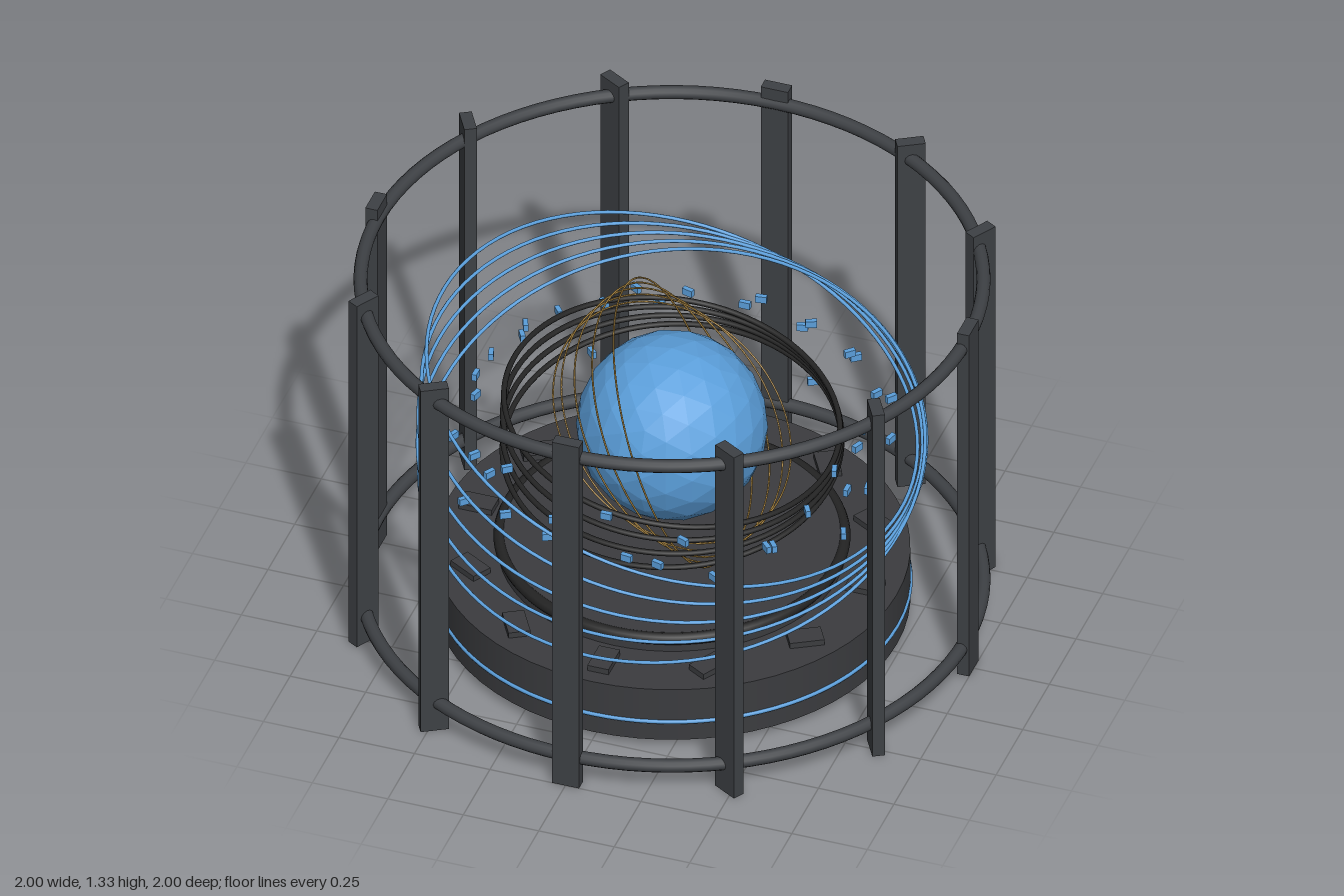
import * as THREE from 'three';

const mat = (name, color) => Object.assign(new THREE.MeshStandardMaterial({ color }), { name });

export function createModel() {
  const model = new THREE.Group();
  model.name = 'cagedCore';
  const frameGrey = mat('frameGrey', 0x3e4145);
  const baseGrey = mat('baseGrey', 0x3b3c3f);
  const ringBlack = mat('ringBlack', 0x242424);
  const blue = mat('blue', 0x5b9fdb);
  const gold = mat('gold', 0xa88440);
  const facetedBlue = mat('facetedBlue', 0x5b9fdb);
  facetedBlue.flatShading = true;

  const add = (name, geo, material, x = 0, y = 0, z = 0, parent = model) => {
    const m = new THREE.Mesh(geo, material);
    m.name = name;
    m.position.set(x, y, z);
    parent.add(m);
    return m;
  };
  const group = (name) => {
    const g = new THREE.Group();
    g.name = name;
    model.add(g);
    return g;
  };
  // Thin ring facing along a given normal
  const ring = (name, r, tube, material, y, normal, parent = model, sides = 8) => {
    const m = add(name, new THREE.TorusGeometry(r, tube, sides, 96), material, 0, y, 0, parent);
    m.quaternion.setFromUnitVectors(new THREE.Vector3(0, 0, 1), normal.normalize());
    return m;
  };
  const up = () => new THREE.Vector3(0, 1, 0);
  const lerp = THREE.MathUtils.lerp;
  // Equal boxes around the axis, each turned by its own angle
  const around = (name, count, geo, material, place, parent) => {
    for (let i = 0; i < count; i++) {
      const t = (i / count) * Math.PI * 2;
      const [r, y] = place(i);
      add(name, geo, material, r * Math.cos(t), y, r * Math.sin(t), parent).rotation.y = t;
    }
  };

  // Outer cage: twelve bars and two hoops
  const cage = group('cage');
  around('cageBar', 12, new THREE.BoxGeometry(0.04, 1.33, 0.09), frameGrey, () => [0.98, 0.665], cage);
  for (const y of [0.1, 1.27]) ring('cageHoop', 0.973, 0.022, frameGrey, y, up(), cage, 12);

  // Stepped base with blocks set through its rim
  const base = group('base');
  add('baseDisc', new THREE.CylinderGeometry(0.745, 0.745, 0.195, 64), baseGrey, 0, 0.1275, 0, base);
  add('upperDisc', new THREE.CylinderGeometry(0.545, 0.545, 0.065, 64), baseGrey, 0, 0.2525, 0, base);
  ring('upperDiscRim', 0.538, 0.02, ringBlack, 0.27, up(), base);
  ring('baseLightRing', 0.745, 0.007, blue, 0.1, up(), base);
  around('baseBlock', 12, new THREE.BoxGeometry(0.11, 0.225, 0.07), baseGrey, () => [0.64, 0.1325], base);

  // Faceted core
  add('core', new THREE.IcosahedronGeometry(0.3, 3), facetedBlue, 0, 0.7, 0);

  // Outer rings, fanning from one tilt to another
  const outer = group('outerRings');
  for (let i = 0; i < 5; i++) {
    const t = i / 4;
    const n = new THREE.Vector3(lerp(0.31, 0, t), 1, lerp(0.05, 0.33, t));
    ring('outerRing', 0.795, 0.006, blue, lerp(0.8, 0.58, t), n, outer);
  }

  // Dark middle rings, fanning less
  const middle = group('middleRings');
  for (let i = 0; i < 4; i++) {
    const t = i / 3;
    const n = new THREE.Vector3(lerp(0.16, 0.02, t), 1, lerp(0.04, 0.16, t));
    ring('middleRing', 0.53, 0.009, ringBlack, lerp(0.75, 0.62, t), n, middle);
  }

  // Fine gold rings standing steeply round the core
  const inner = group('innerRings');
  for (let i = 0; i < 5; i++) {
    const lean = THREE.MathUtils.degToRad(22 + i * 8);
    const yaw = (i - 1.5) * 0.14;
    const n = new THREE.Vector3(Math.cos(lean) * Math.cos(yaw), Math.sin(lean), Math.cos(lean) * Math.sin(yaw));
    ring('innerRing', 0.465 - i * 0.012, 0.003, gold, 0.71, n, inner, 6);
  }

  // Small floating chips round the core
  const chips = group('floatingChips');
  around('chip', 48, new THREE.BoxGeometry(0.016, 0.024, 0.036), blue,
    (i) => [0.58 + ((i * 3) % 5) * 0.035, 0.59 + ((i * 7) % 5) * 0.048], chips);

  return model;
}
